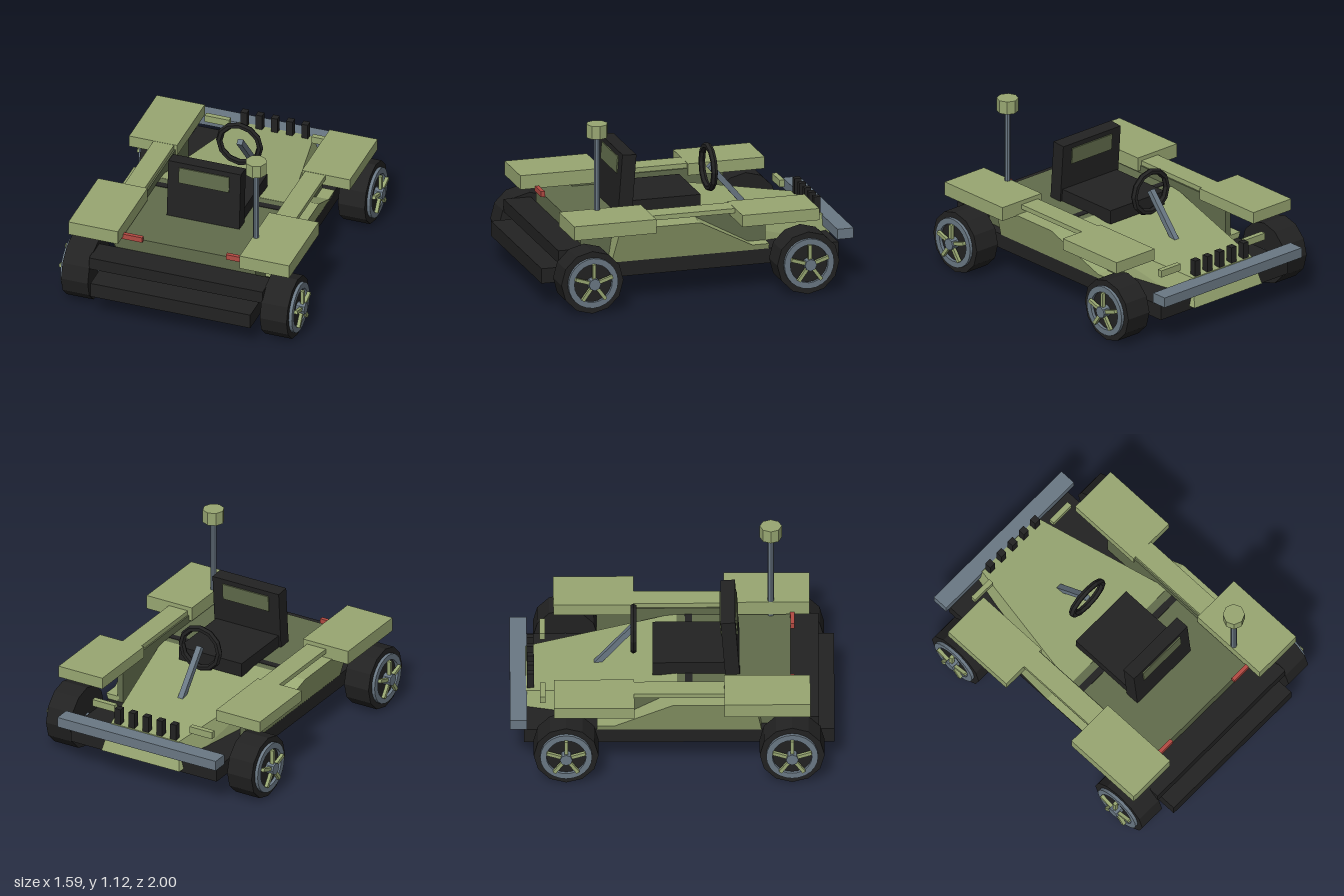
import * as THREE from 'three';
import { ConvexGeometry } from 'three/addons/geometries/ConvexGeometry.js';

const material = (name, color) => new THREE.MeshStandardMaterial({ name, color, flatShading: true });

export function createModel() {
  const olive = material('light olive', 0x98a772);
  const darkOlive = material('dark olive', 0x616c4c);
  const black = material('black', 0x222222);
  const steel = material('steel grey', 0x6a7884);
  const red = material('tail red', 0xb34a42);
  const car = new THREE.Group();
  car.name = 'openCar';

  const add = (name, geometry, mat, parent = car) => {
    const mesh = new THREE.Mesh(geometry, mat);
    mesh.name = name;
    parent.add(mesh);
    return mesh;
  };
  // Box given by its limits on each axis
  const block = (name, mat, x0, x1, y0, y1, z0, z1, parent) => {
    const mesh = add(name, new THREE.BoxGeometry(x1 - x0, y1 - y0, z1 - z0), mat, parent);
    mesh.position.set((x0 + x1) / 2, (y0 + y1) / 2, (z0 + z1) / 2);
    return mesh;
  };
  // Same box on both sides
  const pair = (name, mat, x0, x1, ...rest) => {
    block(name + 'Left', mat, x0, x1, ...rest);
    block(name + 'Right', mat, -x1, -x0, ...rest);
  };

  // Chassis, bumpers and tub
  block('chassis', black, -0.525, 0.525, 0.155, 0.25, -0.915, 1);
  block('rearBumper', black, -0.57, 0.57, 0.29, 0.37, 0.73, 0.905);
  block('frontBumper', steel, -0.57, 0.57, 0.28, 0.345, -1, -0.895);
  block('tub', darkOlive, -0.46, 0.46, 0.25, 0.46, 0.03, 0.73);
  block('dashStrip', black, -0.42, 0.42, 0.455, 0.463, 0.08, 0.125);
  pair('sideWall', darkOlive, 0.42, 0.46, 0.25, 0.468, -0.465, 0.03);
  pair('upperWall', darkOlive, 0.42, 0.46, 0.455, 0.508, -0.235, 0.51);

  // Tapered hood with a raked nose
  const hoodPoints = [];
  for (const s of [-1, 1]) {
    for (const [x, y, z] of [[0.435, 0.462, 0.03], [0.455, 0.25, 0.03],
      [0.245, 0.35, -0.9], [0.28, 0.175, -0.955], [0.28, 0.175, -0.9]]) {
      hoodPoints.push(new THREE.Vector3(s * x, y, z));
    }
  }
  add('hood', new ConvexGeometry(hoodPoints), olive);

  // Side pods: outline in z and y, leaning outward toward the top
  const outline = [[0.55, 0.25], [0.515, 0.48], [0, 0.48], [-0.355, 0.285], [-0.465, 0.285], [-0.465, 0.25]];
  const podShape = new THREE.Shape(outline.map(([z, y]) => new THREE.Vector2(z, y)));
  for (const s of [-1, 1]) {
    const pod = new THREE.ExtrudeGeometry(podShape, { depth: 1, bevelEnabled: false });
    pod.rotateY(-Math.PI / 2);
    const p = pod.attributes.position;
    for (let i = 0; i < p.count; i++) {
      const outer = (p.getX(i) < -0.5) === (s < 0);
      const x = outer ? 0.53 + (p.getY(i) - 0.25) * 0.34 : 0.45;
      p.setX(i, s * x);
    }
    // the extrusion keeps its z sign after the turn
    pod.computeVertexNormals();
    add(s > 0 ? 'sidePodLeft' : 'sidePodRight', pod, olive);
  }

  // Fenders, rails and lamps
  pair('rearFender', olive, 0.4, 0.725, 0.475, 0.565, 0.32, 0.85);
  pair('frontFender', olive, 0.41, 0.725, 0.465, 0.54, -0.73, -0.235);
  pair('sideRail', olive, 0.43, 0.565, 0.508, 0.538, -0.235, 0.32);
  pair('tailLamp', red, 0.275, 0.41, 0.455, 0.49, 0.73, 0.755);
  pair('headlampTab', olive, 0.27, 0.43, 0.38, 0.425, -0.815, -0.782);
  for (let i = -2; i <= 2; i++) {
    block('grillePeg', black, i * 0.1 - 0.021, i * 0.1 + 0.021, 0.34, 0.455, -0.895, -0.852);
  }

  // Seat
  block('seatCushion', black, -0.225, 0.225, 0.45, 0.54, -0.12, 0.33);
  const back = new THREE.Group();
  back.name = 'seatBack';
  back.position.set(0, 0.46, 0.372);
  back.rotation.x = -0.075;
  car.add(back);
  block('seatBackrest', black, -0.238, 0.238, 0, 0.382, -0.045, 0.045, back);
  block('headrestPanel', darkOlive, -0.165, 0.165, 0.245, 0.35, -0.053, 0.053, back);

  // Steering wheel and column
  const wheelRing = add('steeringWheel', new THREE.TorusGeometry(0.134, 0.021, 6, 12), black);
  wheelRing.position.set(0, 0.642, -0.238);
  const column = block('steeringColumn', steel, -0.018, 0.018, -0.18, 0.18, -0.018, 0.018);
  column.position.set(0, 0.515, -0.36);
  column.rotation.x = Math.atan2(0.23, 0.27);

  // Mast with cap
  const pole = add('mast', new THREE.CylinderGeometry(0.019, 0.019, 0.58, 8), steel);
  pole.position.set(0.42, 0.75, 0.61);
  const cap = add('mastCap', new THREE.CylinderGeometry(0.068, 0.068, 0.085, 8), olive);
  cap.position.set(0.42, 1.078, 0.61);

  // Wheels, built facing +x and turned round for the other side
  const disc = (r, x0, x1, sides) =>
    new THREE.CylinderGeometry(r, r, x1 - x0, sides).rotateZ(-Math.PI / 2).translate((x0 + x1) / 2, 0, 0);
  const ringShape = new THREE.Shape().absarc(0, 0, 0.16, 0, Math.PI * 2);
  ringShape.holes.push(new THREE.Path().absarc(0, 0, 0.122, 0, Math.PI * 2));
  const makeWheel = (name, side, z) => {
    const wheel = new THREE.Group();
    wheel.name = name;
    wheel.position.set(0, 0.2, z);
    wheel.rotation.y = side > 0 ? 0 : Math.PI;
    car.add(wheel);
    add('tire', disc(0.2, 0.565, 0.74, 12), black, wheel);
    add('axle', disc(0.027, 0.4, 0.57, 8), steel, wheel);
    const rim = new THREE.ExtrudeGeometry(ringShape, { depth: 0.022, bevelEnabled: false, curveSegments: 12 });
    add('rim', rim.rotateY(Math.PI / 2).translate(0.738, 0, 0), steel, wheel);
    add('hub', disc(0.038, 0.735, 0.795, 8), steel, wheel);
    for (let i = 0; i < 5; i++) {
      const spoke = new THREE.BoxGeometry(0.022, 0.1, 0.022).translate(0.772, 0.075, 0);
      add('spoke', spoke.rotateX((i * Math.PI * 2) / 5), olive, wheel);
    }
  };
  for (const side of [1, -1]) {
    const label = side > 0 ? 'Left' : 'Right';
    makeWheel('rearWheel' + label, side, 0.738);
    makeWheel('frontWheel' + label, side, -0.655);
  }
  return car;
}
